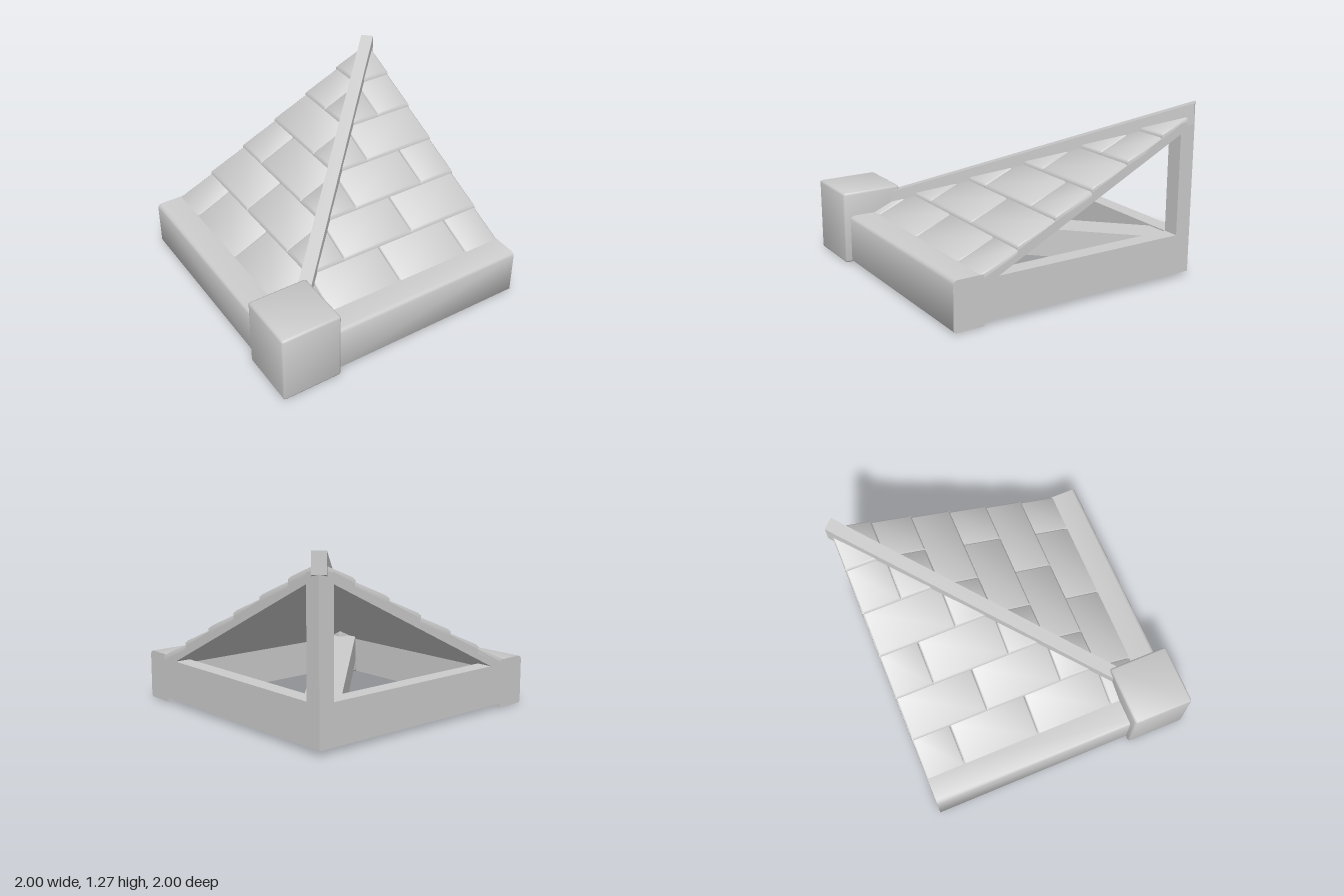
import * as THREE from 'three';
import { toCreasedNormals } from 'three/addons/utils/BufferGeometryUtils.js';
import { RoundedBoxGeometry } from 'three/addons/geometries/RoundedBoxGeometry.js';

const E = 0.97;      // open ends of the corner section
const STEP = 0.29;   // depth of one tile course
const roofY = (z) => 0.47 + 0.5 * (0.48 - z);

// Extrudes a (z, y) outline along x from x0 to x1.
function extrudeX(points, x0, x1, crease, hole) {
  const toV = ([z, y]) => new THREE.Vector2(-z, y);
  const shape = new THREE.Shape(points.map(toV));
  if (hole) shape.holes.push(new THREE.Path(hole.map(toV)));
  const g = new THREE.ExtrudeGeometry(shape, { depth: x1 - x0, bevelEnabled: false });
  g.rotateY(Math.PI / 2).translate(x0, 0, 0);
  return toCreasedNormals(g, crease);
}

// One tile: a flat slab with a raised front lip and bevelled sides, cut along the hip x = -z.
function tileGeometry(x0, x1, zf) {
  const zr = Math.max(zf - STEP, 0.02 - x1);
  const ring = [
    [zf + 0.004, roofY(zf) - 0.012], [zf + 0.004, roofY(zf) + 0.022],
    [zf - 0.008, roofY(zf) + 0.036], [zr, roofY(zr) + 0.01], [zr, roofY(zr) - 0.03],
  ];
  const n = ring.length, pos = [];
  const right = x1 < E ? x1 - 0.001 : x1;
  const P = (i, j) => {
    const [z, y] = ring[j % n];
    const left = Math.max(x0 + 0.001, -z);
    const bevel = Math.min(0.01, (right - left) / 3);
    const x = [left, left + bevel, right - bevel, right][i];
    const drop = (i === 0 || i === 3) && (j % n === 2 || j % n === 3) ? 0.008 : 0;
    return [x, y - drop, z];
  };
  const tri = (a, b, c) => pos.push(...a, ...b, ...c);
  for (let i = 0; i < 3; i++) {
    for (let j = 0; j < n; j++) {
      tri(P(i, j), P(i + 1, j), P(i + 1, j + 1));
      tri(P(i, j), P(i + 1, j + 1), P(i, j + 1));
    }
  }
  for (let j = 1; j < n - 1; j++) {
    tri(P(3, 0), P(3, j + 1), P(3, j));
    tri(P(0, 0), P(0, j), P(0, j + 1));
  }
  const g = new THREE.BufferGeometry();
  g.setAttribute('position', new THREE.Float32BufferAttribute(pos, 3));
  return toCreasedNormals(g, 1.0);
}

// Reflects a non-indexed geometry across the diagonal: (x, z) -> (-z, -x).
function mirrored(geometry) {
  const g = geometry.clone();
  g.applyMatrix4(new THREE.Matrix4().set(0, 0, -1, 0, 0, 1, 0, 0, -1, 0, 0, 0, 0, 0, 0, 1));
  const index = [];
  for (let i = 0; i < g.attributes.position.count; i += 3) index.push(i, i + 2, i + 1);
  g.setIndex(index);
  return g;
}

export function createModel() {
  const model = new THREE.Group();
  model.name = 'hipRoofCorner';
  const mat = new THREE.MeshStandardMaterial({ color: 0xcccccc });
  const thin = new THREE.MeshStandardMaterial({ color: 0xcccccc, side: THREE.DoubleSide });

  const add = (name, geometry, material = mat) => {
    const mesh = new THREE.Mesh(geometry, material);
    mesh.name = name;
    model.add(mesh);
    return mesh;
  };
  const addPair = (name, geometry, material = mat) => {
    add(name + 'Front', geometry, material);
    add(name + 'Side', mirrored(geometry), material);
  };

  // Eave beams with softened outer edges
  addPair('eaveBeam', extrudeX([
    [0.73, 0.01], [0.94, 0.01], [0.953, 0.022], [0.953, 0.335],
    [0.945, 0.354], [0.925, 0.363], [0.73, 0.363],
  ], -0.6, E, 0.9));

  // Triangular end frames: rail, post and sloping rafter
  addPair('endFrame', extrudeX(
    [[0.74, 0.04], [0.74, roofY(0.74)], [-0.85, roofY(-0.85)], [-E, roofY(-0.85)], [-E, 0.04]],
    E - 0.12, E, 0.5,
    [[0.62, 0.33], [-0.85, 0.33], [-0.85, 1.06]],
  ));

  // Roof deck under the tiles
  const drop = 0.068, end = E - 0.01;
  const deck = new THREE.BufferGeometry();
  deck.setAttribute('position', new THREE.Float32BufferAttribute([
    -0.77, roofY(0.77) - drop, 0.77,
    end, roofY(0.77) - drop, 0.77,
    end, roofY(-end) - drop, -end,
  ], 3));
  deck.computeVertexNormals();
  addPair('roofDeck', deck, thin);

  // Tile courses in running bond, each starting with a half tile at the hip
  for (let row = 0; row < 6; row++) {
    const zf = 0.77 - row * STEP;
    let x0 = -zf, x1 = Math.min(-zf + STEP, E);
    while (x0 < E - 0.01) {
      addPair('roofTile', tileGeometry(x0, x1, zf));
      x0 = x1;
      x1 = Math.min(x0 + 2 * STEP, E);
    }
  }

  // Hip ridge along the diagonal
  const hipTop = (x) => roofY(-x) + 0.08;
  const a = -0.6, b = 0.967, r2 = Math.SQRT2;
  const hip = new THREE.ExtrudeGeometry(new THREE.Shape([
    new THREE.Vector2(a * r2, hipTop(a) - 0.145), new THREE.Vector2(b * r2, hipTop(b) - 0.145),
    new THREE.Vector2(b * r2, hipTop(b)), new THREE.Vector2(a * r2, hipTop(a)),
  ]), { depth: 0.095, bevelEnabled: false });
  hip.translate(0, 0, -0.0475).rotateY(Math.PI / 4);
  add('hipRidge', hip);

  // Diagonal floor tie between the post and the corner block
  const tie = add('floorTie', new THREE.BoxGeometry(1.56 * r2, 0.21, 0.24));
  tie.position.set(0.1, 0.215, -0.1);
  tie.rotation.y = Math.PI / 4;

  // Corner block with softly shaded bevels
  add('cornerBlock', toCreasedNormals(new RoundedBoxGeometry(0.45, 0.535, 0.45, 1, 0.018), 1.0))
    .position.set(-0.775, 0.2725, 0.775);

  return model;
}
